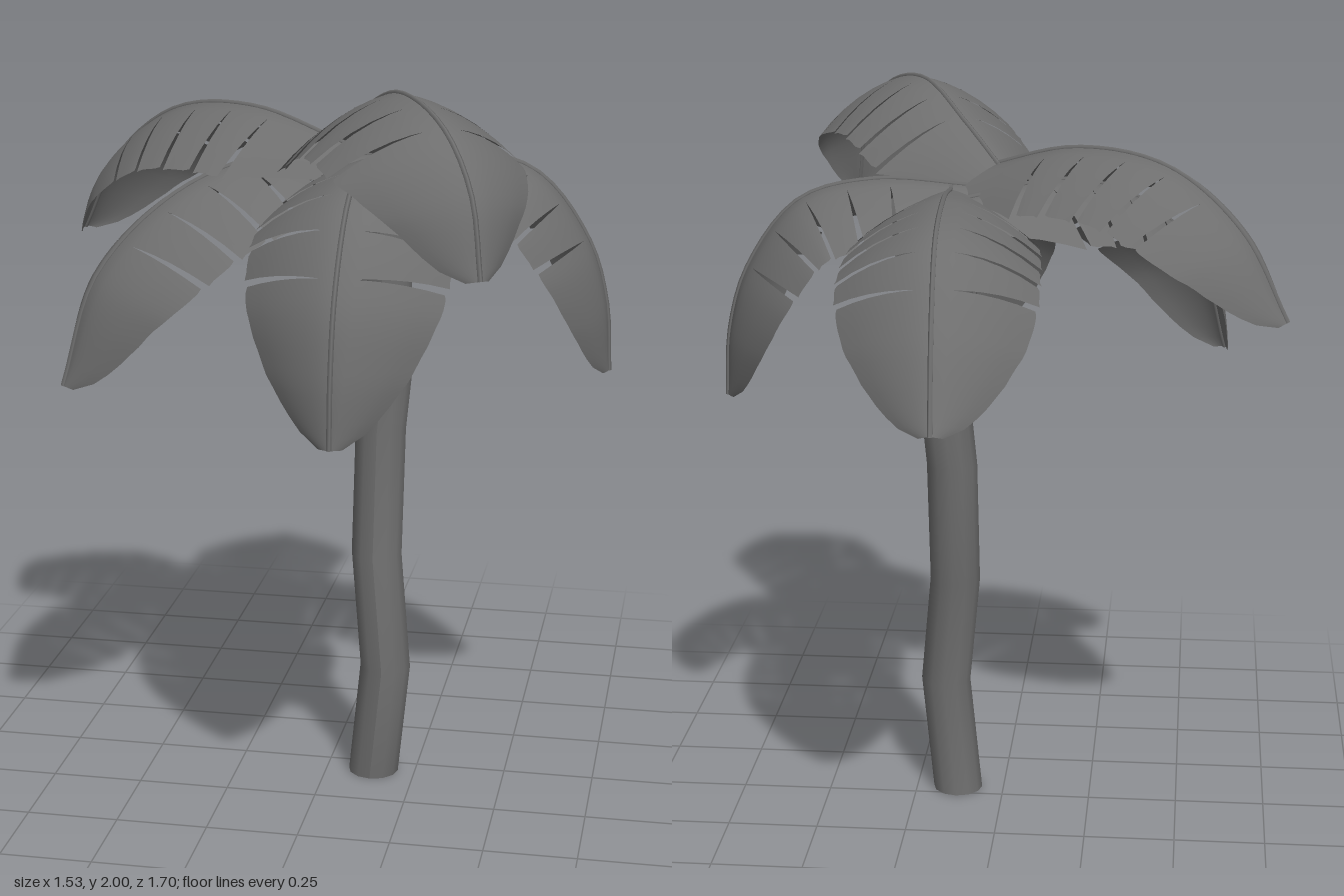
import * as THREE from 'three';
import { mergeVertices } from 'three/addons/utils/BufferGeometryUtils.js';

const V = (p) => new THREE.Vector3(...p);
const leafMat = new THREE.MeshStandardMaterial({ color: 0x6e6e6e, side: THREE.DoubleSide });
const trunkMat = new THREE.MeshStandardMaterial({ color: 0x6e6e6e });

// half width of a leaf along its length (t, half width)
const widthKeys = [[0, 0.13], [0.12, 0.19], [0.2, 0.245], [0.4, 0.255], [0.62, 0.257], [0.72, 0.245], [0.8, 0.22], [0.88, 0.175], [0.94, 0.125], [0.98, 0.075], [1, 0.03]];
function halfWidth(t) {
  let i = 1;
  while (i < widthKeys.length - 1 && t > widthKeys[i][0]) i++;
  const [t0, w0] = widthKeys[i - 1], [t1, w1] = widthKeys[i];
  return w0 + (w1 - w0) * (t - t0) / (t1 - t0);
}

const slits = [0.22, 0.33, 0.44, 0.55, 0.66];
const DROOP = 0.14;

// rows across the leaf: each slit gets a pair of rows that part towards the edge
function leafRows() {
  const rows = [];
  const stops = [0, ...slits, 1];
  for (let k = 0; k < stops.length - 1; k++) {
    const n = k === stops.length - 2 ? 14 : 4;
    for (let i = 0; i <= n; i++) {
      rows.push({
        t: stops[k] + (stops[k + 1] - stops[k]) * i / n,
        shift: i === 0 && k > 0 ? 1 : i === n && k < slits.length ? -1 : 0,
        last: i === n,
      });
    }
  }
  return rows;
}

// arched leaf blade swept along its midrib
function bladeGeometry(curve, side) {
  const rows = leafRows(), pos = [], index = [];
  const cols = [-1, -0.82, -0.64, -0.46, -0.3, -0.18, 0, 0.18, 0.3, 0.46, 0.64, 0.82, 1];
  rows.forEach((row, i) => {
    for (const v of cols) {
      const a = Math.abs(v);
      const open = row.shift * Math.max(0, (a - 0.18) / 0.82);
      const t = THREE.MathUtils.clamp(row.t - 0.04 * a * Math.sin(Math.PI * row.t) + 0.01 * open, 0, 1);
      const w = halfWidth(row.t) * (1 - 0.02 * open);
      const normal = side.clone().cross(curve.getTangentAt(t));
      const drop = DROOP * (w / 0.25) * (0.35 * a + 0.65 * a * a);
      const p = curve.getPointAt(t).addScaledVector(side, v * w).addScaledVector(normal, -drop);
      pos.push(p.x, p.y, p.z);
    }
    if (row.last) return;
    for (let j = 0; j < cols.length - 1; j++) {
      const a = i * cols.length + j, c = a + cols.length;
      index.push(a, a + 1, c, a + 1, c + 1, c);
    }
  });
  let geo = new THREE.BufferGeometry();
  geo.setAttribute('position', new THREE.Float32BufferAttribute(pos, 3));
  geo.setIndex(index);
  geo = mergeVertices(geo, 1e-5);
  geo.computeVertexNormals();
  return geo;
}

function createLeaf(points) {
  const curve = new THREE.CatmullRomCurve3(points.map(V), false, 'centripetal');
  const dir = curve.getPoint(1).sub(curve.getPoint(0)).setY(0).normalize();
  const side = dir.cross(new THREE.Vector3(0, 1, 0));
  const leaf = new THREE.Group();

  const blade = new THREE.Mesh(bladeGeometry(curve, side), leafMat);
  blade.name = 'leafBlade';
  const rib = new THREE.Mesh(new THREE.TubeGeometry(curve, 24, 0.007, 5), leafMat);
  rib.name = 'midrib';
  leaf.add(blade, rib);
  return leaf;
}

// bent trunk: one tube of rings, kinked at each joint
function createTrunk() {
  const joints = [[0.132, 0, 0.05], [0.167, 0.33, 0.07], [0.135, 0.65, 0.035], [0.138, 1, -0.004], [0.16, 1.22, 0], [0.14, 1.73, 0.02]];
  const geo = new THREE.CylinderGeometry(0.07, 0.07, 1, 12, joints.length - 1);
  const p = geo.attributes.position;
  for (let i = 0; i < p.count; i++) {
    const [x, y, z] = joints[Math.round((p.getY(i) + 0.5) * (joints.length - 1))];
    p.setXYZ(i, p.getX(i) + x, y, p.getZ(i) + z);
  }
  geo.computeVertexNormals();
  const trunk = new THREE.Mesh(geo, trunkMat);
  trunk.name = 'trunk';
  return trunk;
}

// midrib paths, from the crown to the tip
const leafPaths = {
  backLeaf: [[0.14, 1.76, 0.04], [0.13, 1.785, -0.25], [0.12, 1.73, -0.53], [0.11, 1.56, -0.71], [0.1, 1.33, -0.845]],
  leftLeaf: [[0.07, 1.765, 0.06], [0.35, 1.785, 0.03], [0.55, 1.73, 0.01], [0.69, 1.55, -0.01], [0.742, 1.38, -0.02], [0.755, 1.19, -0.02]],
  frontLeaf: [[0.14, 1.755, -0.04], [0.14, 1.785, 0.3], [0.14, 1.73, 0.54], [0.14, 1.54, 0.715], [0.14, 1.36, 0.773], [0.14, 1.175, 0.79]],
  backRightLeaf: [[0.08, 1.8, 0.13], [-0.2, 1.88, 0.02], [-0.45, 1.85, -0.1], [-0.64, 1.7, -0.19], [-0.76, 1.48, -0.25]],
  frontRightLeaf: [[0.1, 1.75, -0.05], [-0.16, 1.77, 0.15], [-0.36, 1.69, 0.31], [-0.53, 1.5, 0.44], [-0.61, 1.22, 0.5]],
  frontLeftLeaf: [[0.0, 1.8, 0.08], [0.12, 1.91, 0.23], [0.26, 1.995, 0.47], [0.4, 1.94, 0.69], [0.475, 1.81, 0.79], [0.505, 1.62, 0.84]],
};

export function createModel() {
  const model = new THREE.Group();
  model.name = 'palmTree';
  model.add(createTrunk());
  for (const [name, points] of Object.entries(leafPaths)) {
    const leaf = createLeaf(points);
    leaf.name = name;
    model.add(leaf);
  }
  return model;
}
